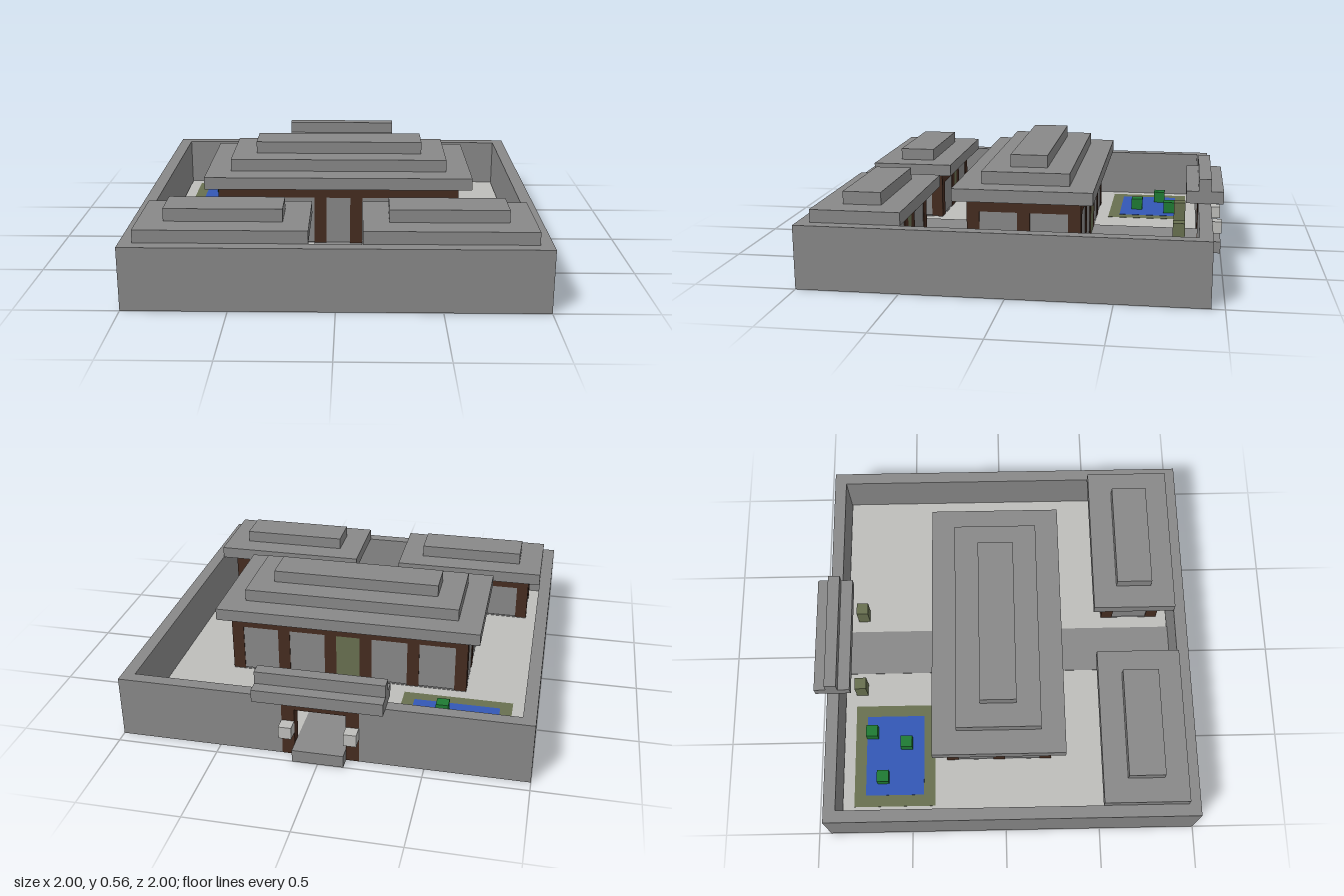
import * as THREE from 'three';

const U = 1 / 16; // one building block

const material = (name, color) => {
  const m = new THREE.MeshStandardMaterial({ color });
  m.name = name;
  return m;
};

export function createModel() {
  const stone = material('grey stone', 0x888888);
  const paving = material('pale paving', 0xbdbdba);
  const timber = material('dark timber', 0x452c20);
  const moss = material('moss', 0x687050);
  const water = material('water', 0x3357b5);
  const leaf = material('lily green', 0x1f7a33);

  const model = new THREE.Group();
  model.name = 'walledCourtyard';

  const group = (name, parent = model) => {
    const g = new THREE.Group();
    g.name = name;
    parent.add(g);
    return g;
  };

  // Box between two corners given in blocks, shrunk by an optional inset
  const block = (parent, name, mat, [x0, x1], [y0, y1], [z0, z1], inset = 0) => {
    const size = [x1 - x0, y1 - y0, z1 - z0].map((s) => s * U - 2 * inset);
    const mesh = new THREE.Mesh(new THREE.BoxGeometry(...size), mat);
    mesh.position.set((x0 + x1) * U / 2, (y0 + y1) * U / 2, (z0 + z1) * U / 2);
    mesh.name = name;
    parent.add(mesh);
    return mesh;
  };

  // Mirror a span of x
  const span = (side, a, b) => (side > 0 ? [a, b] : [-b, -a]);

  // Ground: paving, cross path and pond, all level
  const ground = group('ground');
  block(ground, 'courtyardFloor', paving, [-15, 15], [0, 1], [-14, 15], 0.003);
  block(ground, 'path', stone, [-2, 2], [0, 1], [-16, 15]);
  block(ground, 'hallFoundation', stone, [-10, 10], [0, 1], [-5, 4], 0.001);
  block(ground, 'pondBank', moss, [-14, -5], [0, 1], [-13, -6], 0.0015);
  block(ground, 'pondWater', water, [-13, -6], [0, 1], [-12, -7]);
  for (const [x, z] of [[-12, -11], [-8, -12], [-9, -9]]) {
    block(ground, 'lilyPad', leaf, [x, x + 1], [1, 2], [z, z + 1]);
  }

  // Outer wall with an opening at the back
  const wall = group('outerWall');
  block(wall, 'frontWall', stone, [-16, 16], [0, 5], [15, 16]);
  for (const side of [1, -1]) {
    block(wall, 'sideWall', stone, span(side, 15, 16), [0, 5], [-15, 15]);
    block(wall, 'backWall', stone, span(side, 3, 15), [0, 5], [-15, -14]);
  }

  // Timber framed building: panels, posts, top beam
  const building = (name, [x0, x1], [z0, z1], top, postsX, postsZ) => {
    const g = group(name);
    block(g, 'wallPanels', stone, [x0, x1], [1, top], [z0, z1], 0.004);
    block(g, 'topBeam', timber, [x0, x1], [top - 1, top], [z0, z1]);
    for (const x of postsX) {
      for (const z of [z0, z1 - 1]) {
        block(g, 'post', timber, [x, x + 1], [1, top - 1], [z, z + 1]);
      }
    }
    for (const z of postsZ) {
      for (const x of [x0, x1 - 1]) {
        block(g, 'sidePost', timber, [x, x + 1], [1, top - 1], [z, z + 1]);
      }
    }
    return g;
  };

  // Stepped roof: a list of [xSpan, zSpan] tiers
  const roof = (parent, base, tiers) => tiers.forEach(([x, z], i) =>
    block(parent, 'roofTier', stone, x, [base + i, base + i + 1], z));

  // Main hall
  const hall = building('mainHall', [-10, 10], [-5, 4], 6, [-10, -6, -2, 1, 5, 9], [-1]);
  block(hall, 'backDoor', moss, [-1, 1], [1, 5], [-5, -4.5]);
  roof(hall, 6, [
    [[-11, 11], [-6, 5]],
    [[-9, 9], [-4, 3]],
    [[-7, 7], [-2, 1]],
  ]);

  // Two front pavilions
  for (const side of [1, -1]) {
    const posts = [3, 7, 9, 13].map((x) => (side > 0 ? x : -x - 1));
    const p = building(side > 0 ? 'leftPavilion' : 'rightPavilion',
      span(side, 3, 14), [9, 14], 5, posts, []);
    block(p, 'foundation', stone, span(side, 3, 14), [0, 1], [9, 14], 0.001);
    block(p, 'door', moss, span(side, 8, 9), [1, 4], [9, 9.5]);
    roof(p, 5, [
      [span(side, 2, 15), [8, 15]],
      [span(side, 4, 13), [10, 13]],
    ]);
  }

  // Back gate with lanterns and garden stones
  const gate = group('gate');
  block(gate, 'lintel', timber, [-3, 3], [4, 5], [-15, -14]);
  roof(gate, 5, [
    [[-5, 5], [-16, -13]],
    [[-5, 5], [-15, -14]],
  ]);
  for (const side of [1, -1]) {
    block(gate, 'gatePost', timber, span(side, 2, 3), [0, 4], [-15, -14]);
    block(gate, 'lantern', paving, span(side, 2, 3), [2, 3], [-16, -15]);
    block(gate, 'mossyStone', moss, span(side, 3, 4), [1, 3], [-13, -12]);
  }

  return model;
}
